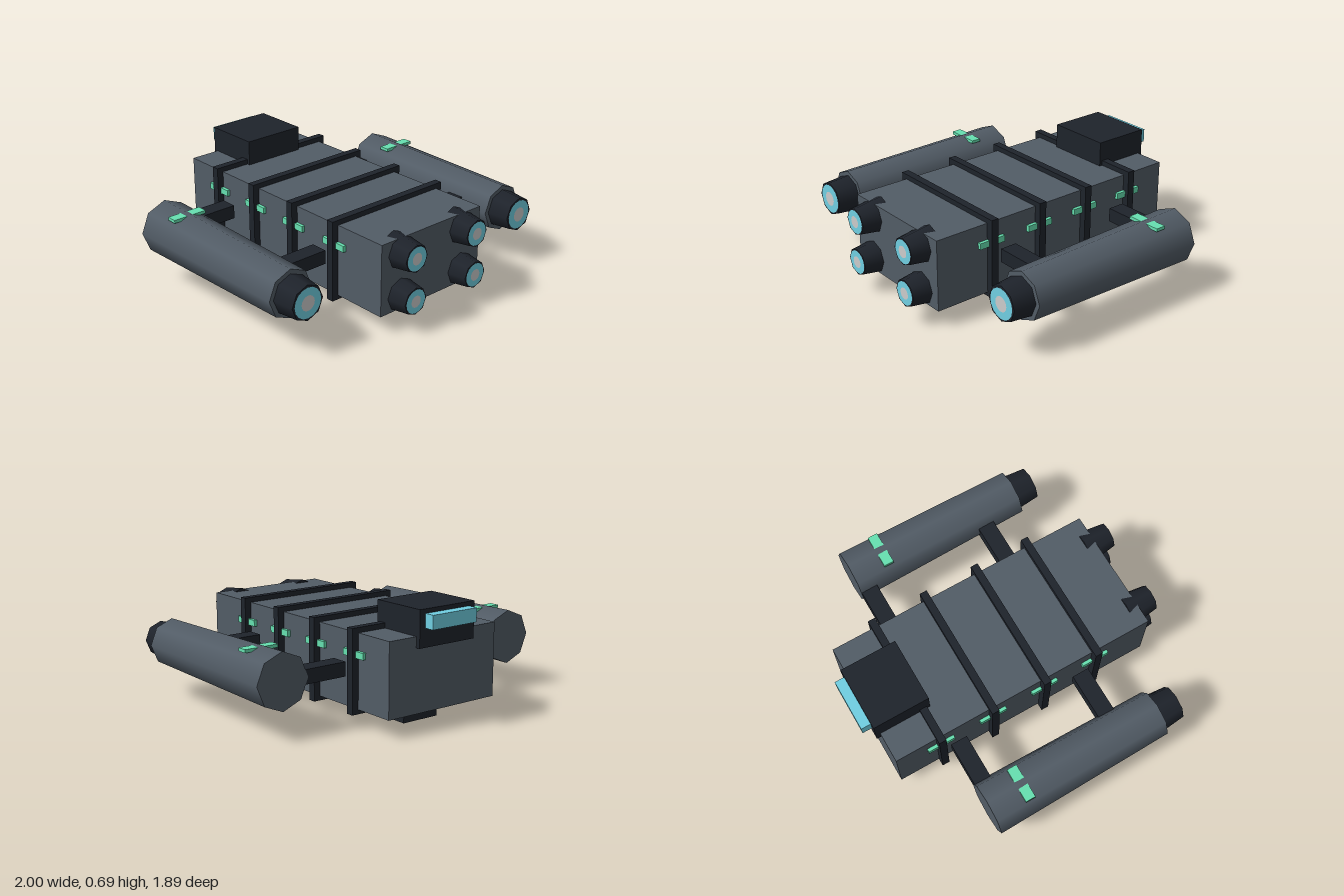
import * as THREE from 'three';

const mat = (color) => new THREE.MeshStandardMaterial({ color });

export function createModel() {
  const model = new THREE.Group();
  const hullMat = mat(0x525c66), darkMat = mat(0x1e232b);
  const glowMat = mat(0x70cfe2), lampMat = mat(0x66e0b0), greyMat = mat(0xcccccc);

  const add = (name, geometry, material, x, y, z) => {
    const mesh = new THREE.Mesh(geometry, material);
    mesh.name = name;
    mesh.position.set(x, y, z);
    model.add(mesh);
  };
  const box = (name, material, [w, h, d], x, y, z) =>
    add(name, new THREE.BoxGeometry(w, h, d), material, x, y, z);
  // Eight-sided tapered tube along z, one corner pointing up
  const taper = (name, material, rBack, rFront, zBack, zFront, x, y) =>
    add(name, new THREE.CylinderGeometry(rFront, rBack, zFront - zBack, 8).rotateX(Math.PI / 2),
      material, x, y, (zBack + zFront) / 2);
  // Engine nozzle with a glowing disc and a pale core
  const nozzle = (name, rBack, rFront, zBack, zFront, rGlow, x, y) => {
    taper(name, darkMat, rBack, rFront, zBack, zFront, x, y);
    add(name + 'Glow', new THREE.CircleGeometry(rGlow, 16), glowMat, x, y, zFront + 0.002);
    add(name + 'Core', new THREE.CircleGeometry(rGlow / 2, 16), greyMat, x, y, zFront + 0.004);
  };

  // Main body, keel and bridge
  box('hull', hullMat, [0.77, 0.43, 1.68], 0, 0.325, -0.02);
  box('keel', darkMat, [0.245, 0.075, 1.32], 0, 0.0375, -0.02);
  box('bridge', darkMat, [0.395, 0.212, 0.35], 0, 0.584, -0.712);
  box('bridgeWindow', glowMat, [0.318, 0.08, 0.08], 0, 0.625, -0.907);

  // Hull ribs with a lamp on each side
  for (const z of [-0.58, -0.235, 0.11, 0.455]) {
    box('rib', darkMat, [0.852, 0.486, 0.046], 0, 0.327, z);
    for (const s of [-1, 1]) box('sideLamp', lampMat, [0.03, 0.038, 0.172], s * 0.39, 0.422, z);
  }

  for (const s of [-1, 1]) {
    // Hull engines
    for (const y of [0.2, 0.455]) nozzle('hullNozzle', 0.106, 0.081, 0.755, 0.935, 0.071, s * 0.236, y);

    // Side pod, its nozzle and lamp
    const x = s * 0.833;
    taper('pod', hullMat, 0.165, 0.145, -0.53, 0.605, x, 0.328);
    nozzle('podNozzle', 0.12, 0.105, 0.58, 0.74, 0.09, x, 0.328);
    box('podLamp', lampMat, [0.213, 0.019, 0.062], x, 0.471, -0.308);

    // Struts between hull and pod
    for (const z of [-0.475, 0.35]) box('strut', darkMat, [0.38, 0.083, 0.104], s * 0.602, 0.328, z);
  }
  return model;
}
